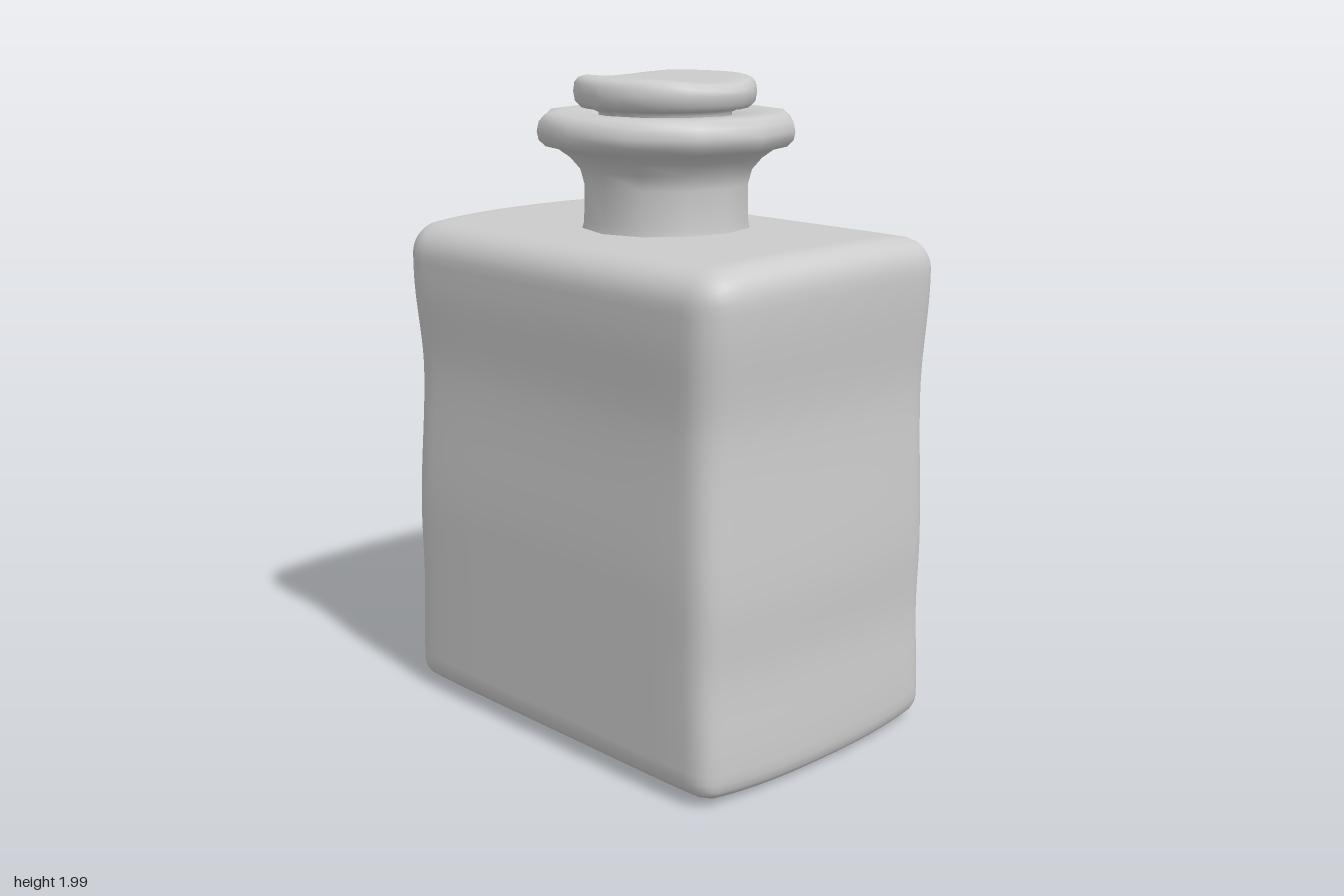
import * as THREE from 'three';
import { mergeVertices } from 'three/addons/utils/BufferGeometryUtils.js';

const material = new THREE.MeshStandardMaterial({ color: 0xcccccc });

// Smoothly interpolates [position, value] keys
function ease(keys, t) {
  if (t <= keys[0][0]) return keys[0][1];
  for (let i = 1; i < keys.length; i++) {
    const [a, va] = keys[i - 1], [b, vb] = keys[i];
    if (t <= b) return va + (vb - va) * THREE.MathUtils.smoothstep(t, a, b);
  }
  return keys[keys.length - 1][1];
}

// Hand-blown body: a rounded box with bowed sides and a slight waist
function bodyGeometry() {
  const half = new THREE.Vector3(0.7, 0.772, 0.497);
  let geo = new THREE.BoxGeometry(1.4, 1.544, 0.994, 48, 52, 36);
  geo.deleteAttribute('uv');
  geo.deleteAttribute('normal');
  geo = mergeVertices(geo);

  const halfWidth = [[0.1, 0.7], [0.38, 0.69], [0.6, 0.697], [1.06, 0.683], [1.44, 0.711]];
  const frontDepth = [[0.1, 0.5], [0.6, 0.5], [1.08, 0.485], [1.38, 0.498]];
  const p = new THREE.Vector3(), inner = new THREE.Vector3();
  const pos = geo.attributes.position;
  for (let i = 0; i < pos.count; i++) {
    p.fromBufferAttribute(pos, i);
    // round the edges, more at the shoulder than at the foot
    const r = THREE.MathUtils.lerp(0.06, 0.095, (p.y + half.y) / (2 * half.y));
    const core = half.clone().subScalar(r);
    inner.copy(p).clamp(core.clone().negate(), core);
    p.sub(inner).normalize().multiplyScalar(r).add(inner);
    const y = p.y + half.y + 0.006;
    const u = p.x / half.x, w = p.z / half.z;
    // bow the sides, top and bottom, and add the uneven waist
    const x = u * ease(halfWidth, y) * (1 - 0.04 * w * w);
    const z = w * (w > 0 ? ease(frontDepth, y) : 0.496) * (1 - 0.025 * u ** 8);
    const bow = 0.025 * Math.abs(w) ** 3 * (p.y / half.y) ** 3;
    pos.setXYZ(i, x, y - bow, z);
  }
  geo.computeVertexNormals();
  return geo;
}

function lathe(points, sides) {
  return new THREE.LatheGeometry(points.map(([r, y]) => new THREE.Vector2(r, y)), sides);
}

export function createModel() {
  const model = new THREE.Group();
  const add = (name, geometry) => {
    const mesh = new THREE.Mesh(geometry, material);
    mesh.name = name;
    model.add(mesh);
    return mesh;
  };

  add('body', bodyGeometry());

  // Neck flaring into a thick rolled lip
  const neck = add('neckAndLip', lathe([
    [0.265, 1.53], [0.255, 1.57], [0.253, 1.68], [0.265, 1.725], [0.295, 1.76],
    [0.33, 1.785], [0.37, 1.795], [0.39, 1.815], [0.395, 1.84], [0.388, 1.87],
    [0.365, 1.89], [0.33, 1.894], [0.24, 1.89], [0.2, 1.86],
  ], 12));
  neck.position.z = -0.006;

  // Flat stopper with rounded rim
  const stopperGeo = lathe([
    [0.2, 1.82], [0.2, 1.89], [0.225, 1.903], [0.255, 1.907], [0.27, 1.922],
    [0.275, 1.95], [0.271, 1.977], [0.258, 1.993], [0.235, 2], [0.19, 2],
    [0.14, 2], [0.09, 2], [0.045, 2], [0, 2],
  ], 24);
  // shallow trough across the stopper top
  const pos = stopperGeo.attributes.position;
  for (let i = 0; i < pos.count; i++) {
    if (pos.getY(i) < 1.97) continue;
    const t = Math.min(1, Math.abs(pos.getZ(i)) / 0.2);
    pos.setY(i, pos.getY(i) - 0.015 * (1 - t * t) ** 2);
  }
  stopperGeo.computeVertexNormals();
  add('stopper', stopperGeo);

  return model;
}
